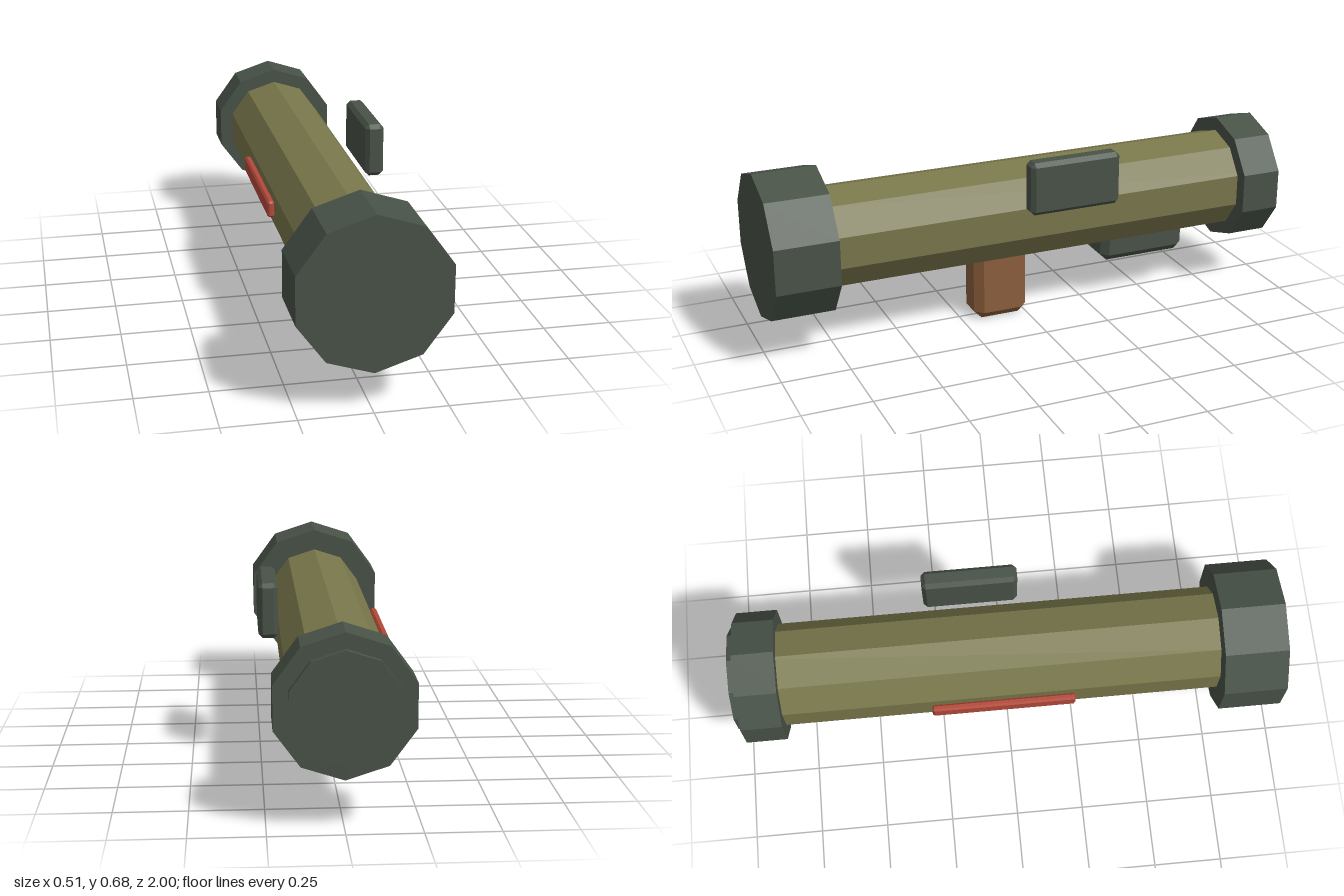
import * as THREE from 'three';
import { ConvexGeometry } from 'three/addons/geometries/ConvexGeometry.js';

const AXIS_Y = 0.411;

function material(name, color) {
  const m = new THREE.MeshStandardMaterial({ color, flatShading: true });
  m.name = name;
  return m;
}

// Ten-sided drum lying along z, with a corner at the top
function drum(name, radius, z0, z1, mat) {
  const geometry = new THREE.CylinderGeometry(radius, radius, z1 - z0, 10);
  geometry.rotateX(Math.PI / 2);
  const mesh = new THREE.Mesh(geometry, mat);
  mesh.name = name;
  mesh.position.set(0, AXIS_Y, (z0 + z1) / 2);
  return mesh;
}

// Box between two corners with every edge chamfered by c
function chamferBox(name, min, max, c, mat) {
  const lo = new THREE.Vector3(...min), hi = new THREE.Vector3(...max);
  const half = hi.clone().sub(lo).multiplyScalar(0.5);
  const points = [];
  for (const sx of [-1, 1]) for (const sy of [-1, 1]) for (const sz of [-1, 1]) {
    for (let axis = 0; axis < 3; axis++) {
      const inset = [c, c, c];
      inset[axis] = 0;
      points.push(new THREE.Vector3(
        sx * (half.x - inset[0]), sy * (half.y - inset[1]), sz * (half.z - inset[2])));
    }
  }
  const mesh = new THREE.Mesh(new ConvexGeometry(points), mat);
  mesh.name = name;
  mesh.position.copy(lo).add(hi).multiplyScalar(0.5);
  return mesh;
}

export function createModel() {
  const olive = material('olive paint', 0x78764a);
  const dark = material('dark green metal', 0x485247);
  const wood = material('brown grip', 0x8b5e3c);
  const red = material('red stripe', 0xb3493a);

  const model = new THREE.Group();
  model.name = 'shoulderLauncher';
  model.add(
    // Barrel with its end collars and rear plug
    drum('barrel', 0.187, -0.97, 0.78, olive),
    drum('frontCollar', 0.269, 0.77, 1, dark),
    drum('rearCollar', 0.239, -0.975, -0.825, dark),
    drum('rearPlug', 0.187, -1, -0.97, dark),
    // Grip and shoulder rest below
    chamferBox('grip', [-0.07, 0, -0.003], [0.07, 0.28, 0.205], 0.03, wood),
    chamferBox('shoulderRest', [-0.08, 0.155, -0.655], [0.08, 0.29, -0.31], 0.027, dark),
    // Sight on the left, marking strip on the right
    chamferBox('sight', [0.187, 0.467, -0.285], [0.256, 0.664, 0.062], 0.015, dark),
    chamferBox('markingStrip', [-0.211, 0.4, -0.285], [-0.186, 0.46, 0.238], 0.007, red),
  );
  return model;
}
